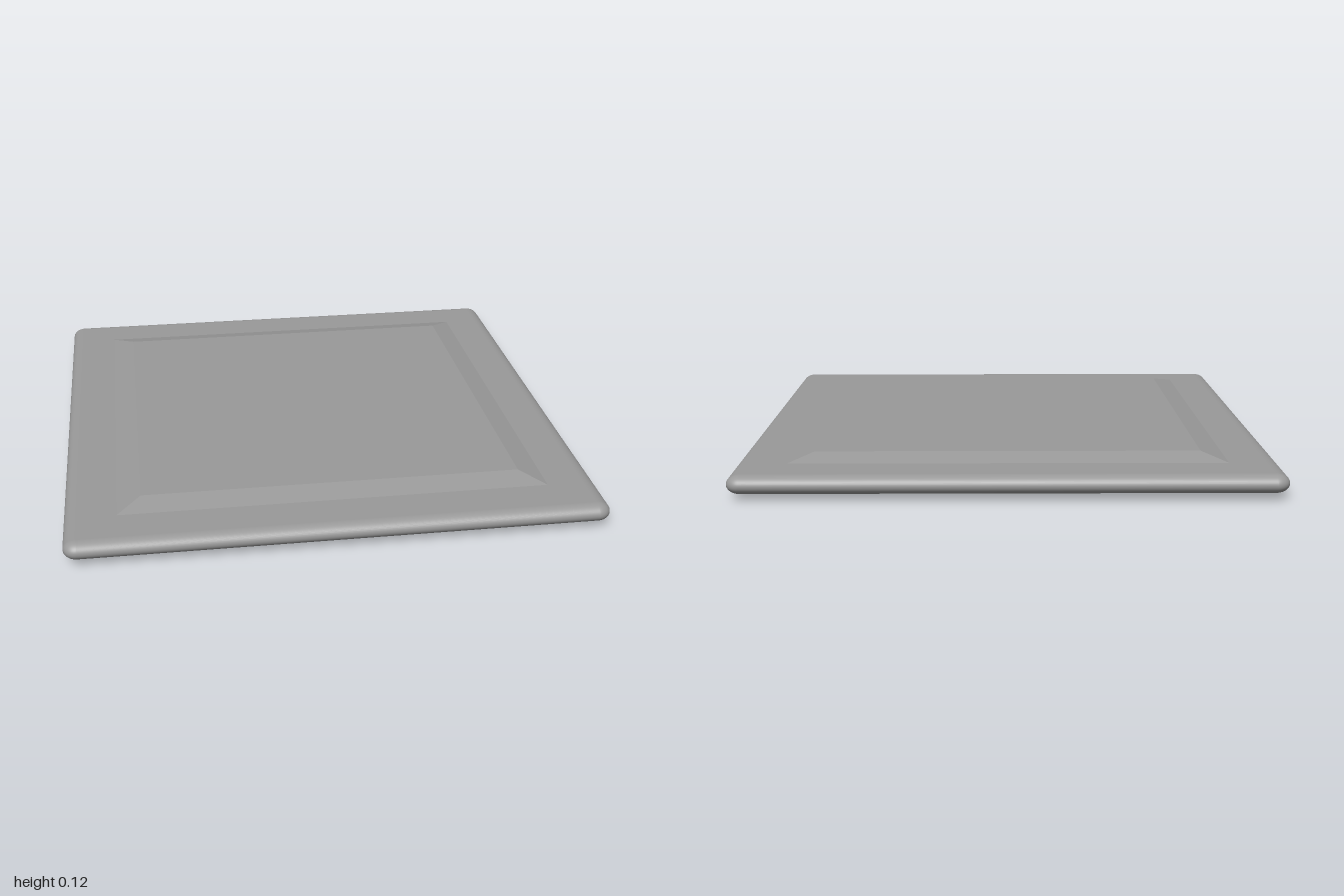
import * as THREE from 'three';
import { RoundedBoxGeometry } from 'three/addons/geometries/RoundedBoxGeometry.js';

const MID = 0.058;        // height of the centre plane
const SLAB_HALF = 0.035;  // half thickness of the rim
const EDGE = 0.05;        // rounding of the rim, seen from above

export function createModel() {
  const group = new THREE.Group();
  const smooth = new THREE.MeshStandardMaterial({ color: 0x999999 });
  const flat = new THREE.MeshStandardMaterial({ color: 0x999999, flatShading: true });

  // Slab with rounded edges, flattened to an elliptical rim
  const slabGeometry = new RoundedBoxGeometry(1.98, EDGE * 2, 2, 6, EDGE);
  slabGeometry.scale(1, SLAB_HALF / EDGE, 1);
  const slab = new THREE.Mesh(slabGeometry, smooth);
  slab.name = 'slab';
  slab.position.y = MID;
  group.add(slab);

  // Raised panel with sloping borders, on both faces, slightly longer than wide
  const height = MID - SLAB_HALF;
  const panelGeometry = new THREE.CylinderGeometry(0.71 * Math.SQRT2, 0.8 * Math.SQRT2, height, 4, 1);
  panelGeometry.rotateY(Math.PI / 4);
  panelGeometry.scale(1, 1, 1.008);
  panelGeometry.translate(0, SLAB_HALF + height / 2, 0);
  for (const [name, turn] of [['topPanel', 0], ['bottomPanel', Math.PI]]) {
    const panel = new THREE.Mesh(panelGeometry, flat);
    panel.name = name;
    panel.position.y = MID;
    panel.rotation.x = turn;
    group.add(panel);
  }
  return group;
}
